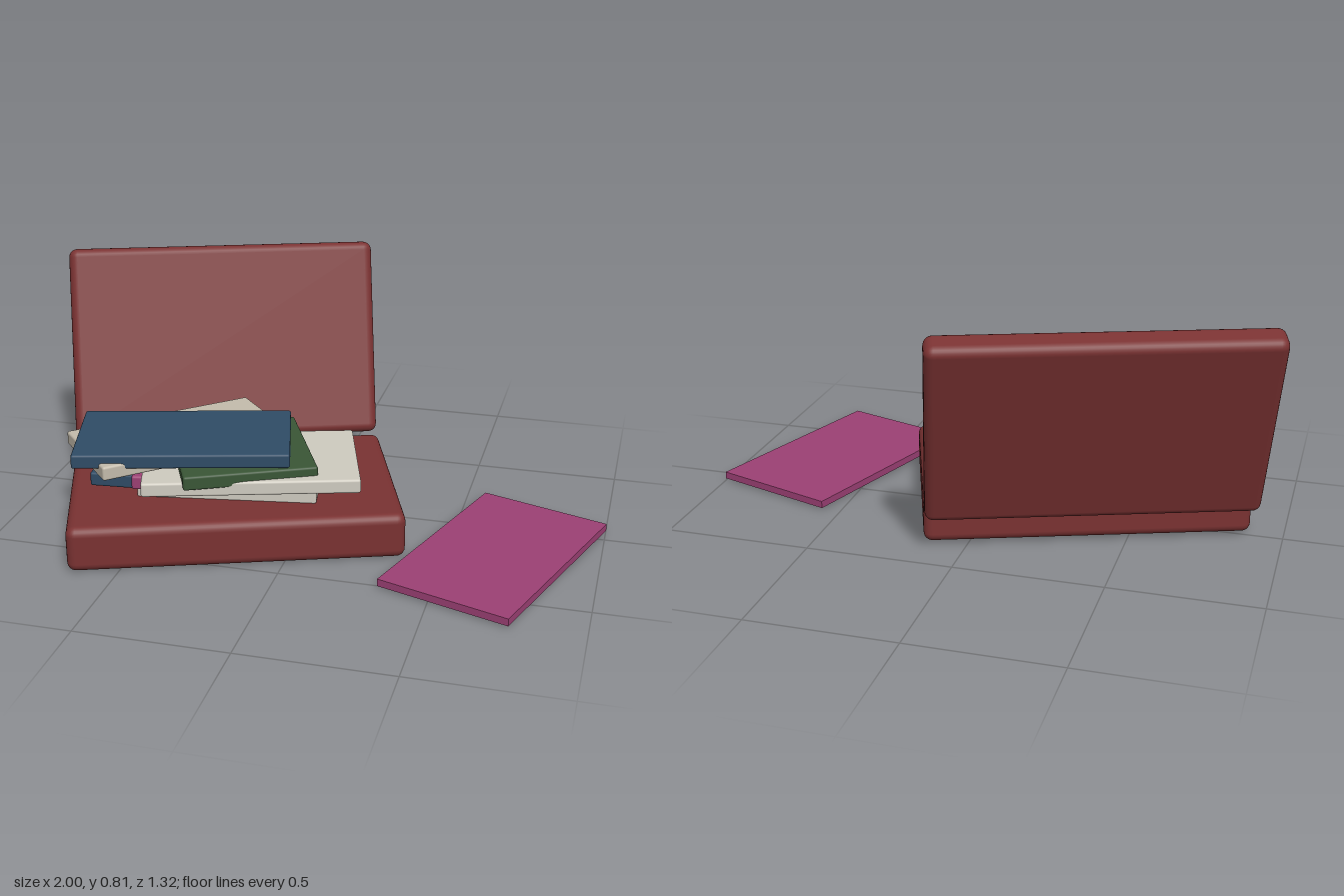
import * as THREE from 'three';
import { RoundedBoxGeometry } from 'three/addons/geometries/RoundedBoxGeometry.js';

const RED = 0x7a3232, BLUE = 0x2f4c66, GREEN = 0x3a5636;
const CREAM = 0xc4bcac, IVORY = 0xcfcbc0, PINK = 0x9c4074;
const rad = THREE.MathUtils.degToRad;

// Slab of given size, turned about y by `turn` degrees and leaned back by `lean` degrees
function slab(name, color, size, pos, turn, radius, lean = 0) {
  const geometry = radius > 0
    ? new RoundedBoxGeometry(...size, 3, radius)
    : new THREE.BoxGeometry(...size);
  const mesh = new THREE.Mesh(geometry, new THREE.MeshStandardMaterial({ color }));
  mesh.name = name;
  mesh.position.set(...pos);
  mesh.rotation.order = 'YXZ';
  mesh.rotation.set(rad(-lean), rad(turn), 0);
  return mesh;
}

export function createModel() {
  const model = new THREE.Group();
  model.name = 'openCaseWithBooks';

  // Case: lower half lying flat, lid standing open and leaning back
  const suitcase = new THREE.Group();
  suitcase.name = 'suitcase';
  suitcase.add(
    slab('caseBase', RED, [1.1, 0.155, 0.7], [-0.257, 0.0775, 0.156], 20, 0.03),
    slab('caseLid', RED, [1.1, 0.7, 0.1], [-0.437, 0.4675, -0.335], 20, 0.03, 19),
  );
  model.add(suitcase);

  // Stack of books, bottom to top: name, colour, width, depth, x, z, centre height, turn
  const books = [
    ['bottomBook', IVORY, 0.6, 0.38, -0.255, 0.14, 0.175, 9],
    ['smallBlueBook', BLUE, 0.26, 0.36, -0.572, 0.188, 0.2, 5],
    ['pinkBook', PINK, 0.48, 0.4, -0.325, 0.18, 0.225, 11.5],
    ['ivoryBook', IVORY, 0.71, 0.42, -0.17, 0.222, 0.252, 17],
    ['greenBook', GREEN, 0.44, 0.44, -0.205, 0.215, 0.282, 25.5],
    ['creamBook', CREAM, 0.67, 0.345, -0.43, 0.203, 0.309, 42.5],
    ['topBook', BLUE, 0.705, 0.385, -0.383, 0.274, 0.337, 15],
  ];
  const stack = new THREE.Group();
  stack.name = 'bookStack';
  for (const [name, color, w, d, x, z, y, turn] of books) {
    stack.add(slab(name, color, [w, 0.048, d], [x, y, z], turn, 0.008));
  }
  model.add(stack);

  // Thin folder on the ground beside the case
  model.add(slab('folder', PINK, [0.458, 0.025, 0.755], [0.665, 0.018, 0.225], -18.4, 0));

  return model;
}
